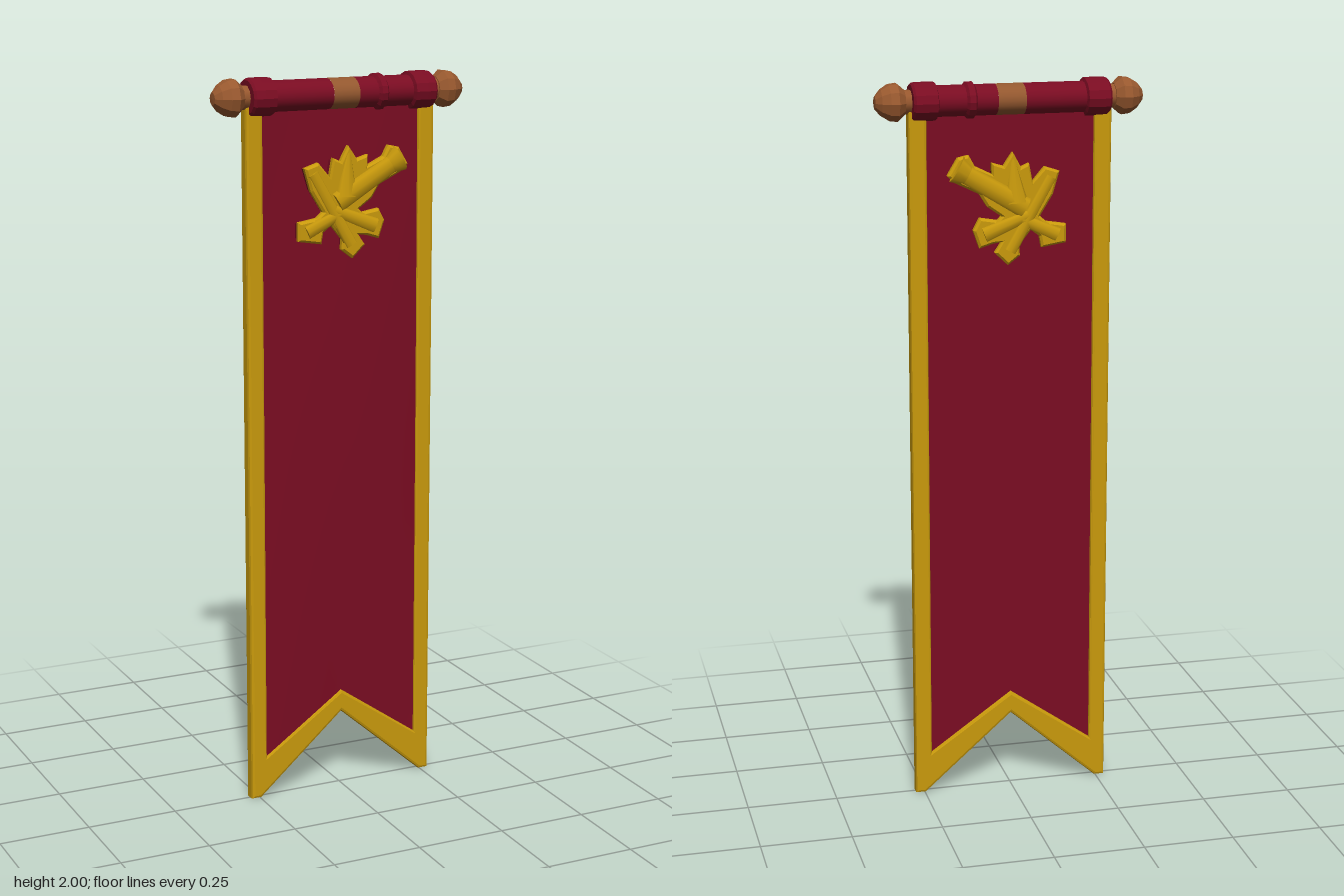
import * as THREE from 'three';

const mat = (name, color) => {
  const m = new THREE.MeshStandardMaterial({ color });
  m.name = name;
  return m;
};

export function createModel() {
  const red = mat('crimson cloth', 0x7a0c22);
  const gold = mat('gold', 0xc99a0c);
  const wood = mat('brown wood', 0x99592f);
  const tan = mat('tan band', 0x94582f);
  const root = new THREE.Group();
  root.name = 'hangingBanner';

  const add = (name, geo, material, parent = root) => {
    const mesh = new THREE.Mesh(geo, material);
    mesh.name = name;
    parent.add(mesh);
    return mesh;
  };
  const shapeOf = pts => new THREE.Shape(pts.map(([x, y]) => new THREE.Vector2(x, y)));

  // Cloth: a thin box with a swallowtail lower edge and a gently bulging front
  const cloth = new THREE.BoxGeometry(0.48, 1, 0.024, 12, 16, 1);
  const p = cloth.attributes.position;
  for (let i = 0; i < p.count; i++) {
    const x = p.getX(i), t = p.getY(i) + 0.5, z = p.getZ(i);
    const bottom = 0.25 - Math.abs(x) * 0.8;
    const bulge = z > 0 ? 0.013 * Math.sin(Math.PI * t) * (1 - (x / 0.24) ** 2) : 0;
    p.setXYZ(i, x, bottom + t * (1.93 - bottom), z + bulge);
  }
  cloth.computeVertexNormals();
  add('cloth', cloth, red);

  // Gold trim: one bevelled border down both sides and along the swallowtail
  const b = 0.008;
  const trim = new THREE.ExtrudeGeometry(shapeOf([
    [-0.267, 1.92], [-0.267, 0.008], [-0.25, 0.008], [0, 0.228], [0.25, 0.008], [0.267, 0.008],
    [0.267, 1.92], [0.234, 1.92], [0.234, 0.11], [0, 0.272], [-0.234, 0.11], [-0.234, 1.92],
  ]), { depth: 0.024, bevelEnabled: true, bevelSize: b, bevelThickness: b, bevelSegments: 2 });
  add('goldTrim', trim.translate(0, 0, -0.013), gold);

  // Rolled top: lathe profiles turned to lie along x and slightly flattened
  const rod = new THREE.Group();
  rod.name = 'topRod';
  rod.position.y = 1.946;
  root.add(rod);
  const turned = (name, pts, material, sides, flat) => {
    const geo = new THREE.LatheGeometry(pts.map(([x, r]) => new THREE.Vector2(r, x)), sides);
    geo.rotateZ(-Math.PI / 2).scale(1, flat, 1);
    return add(name, geo.toNonIndexed(), material, rod);
  };
  const facet = mesh => { mesh.geometry.computeVertexNormals(); return mesh; };
  turned('clothRollLeft', [[0.04, 0.049], [0.205, 0.049]], red, 20, 0.84);
  turned('clothRollRight', [[-0.205, 0.049], [-0.035, 0.049]], red, 20, 0.84);
  turned('tanBand', [[-0.035, 0.0492], [0.04, 0.0492]], tan, 20, 0.84);
  facet(turned('rollRing', [[0.095, 0.048], [0.102, 0.058], [0.118, 0.058], [0.125, 0.048]], red, 16, 0.84));
  for (const s of [-1, 1]) {
    const side = s > 0 ? 'left' : 'right';
    const along = pts => (s > 0 ? pts : pts.map(([x, r]) => [-x, r]).reverse());
    facet(turned(side + 'Collar', along([
      [0.197, 0.045], [0.202, 0.061], [0.235, 0.062], [0.26, 0.061], [0.266, 0.055], [0.266, 0],
    ]), red, 14, 0.82));
    turned(side + 'Neck', along([[0.26, 0.032], [0.295, 0.032]]), wood, 10, 1);
    facet(turned(side + 'Knob', along([
      [0.282, 0], [0.283, 0.036], [0.302, 0.054], [0.324, 0.051], [0.345, 0.037], [0.36, 0.018], [0.361, 0],
    ]), wood, 10, 0.95));
  }

  // Emblem outline: crossed staves, a flared horn and a small crown of points
  const outline = [
    [-0.116, 1.755], [-0.085, 1.765], [-0.048, 1.725], [-0.037, 1.775], [-0.016, 1.765],
    [0.004, 1.805], [0.026, 1.77], [0.056, 1.78], [0.055, 1.75], [0.11, 1.775],
    [0.125, 1.802], [0.148, 1.797], [0.172, 1.757], [0.156, 1.742], [0.09, 1.71],
    [0.068, 1.675], [0.026, 1.645], [0.042, 1.627], [0.09, 1.635], [0.104, 1.608],
    [0.09, 1.568], [0.058, 1.578], [0.026, 1.58], [0.045, 1.548], [0.016, 1.52],
    [-0.01, 1.54], [-0.008, 1.567], [-0.045, 1.613], [-0.075, 1.59], [-0.08, 1.563],
    [-0.136, 1.572], [-0.136, 1.612], [-0.085, 1.62], [-0.063, 1.64], [-0.1, 1.7],
  ];
  const core = new THREE.ExtrudeGeometry(shapeOf(outline), { depth: 0.08, bevelEnabled: false });
  add('emblemBacking', core.translate(0, 0, -0.04), red);

  // Raised bars on the emblem: start, end, start radius, end radius
  const bars = [
    ['horn', [-0.03, 1.665], [0.145, 1.768], 0.03, 0.026],
    ['hornMouth', [0.125, 1.756], [0.155, 1.774], 0.026, 0.038],
    ['longStave', [-0.1, 1.745], [0.012, 1.55], 0.016, 0.018],
    ['leftStave', [-0.118, 1.59], [-0.02, 1.635], 0.02, 0.016],
    ['rightStave', [-0.04, 1.645], [0.082, 1.597], 0.016, 0.022],
    ['crownPoint', [-0.005, 1.68], [0.004, 1.795], 0.034, 0.006],
  ];
  for (const s of [1, -1]) {
    const emblem = new THREE.Group();
    emblem.name = s > 0 ? 'frontEmblem' : 'backEmblem';
    root.add(emblem);
    const face = new THREE.ExtrudeGeometry(shapeOf(outline), {
      depth: 0.012, bevelEnabled: true, bevelSize: 0.006, bevelThickness: 0.006, bevelSegments: 1,
    });
    face.translate(0, 0, s > 0 ? 0.038 : -0.05);
    add('emblemFace', face, gold, emblem);
    for (const [name, from, to, r0, r1] of bars) {
      const dx = to[0] - from[0], dy = to[1] - from[1];
      const geo = new THREE.CylinderGeometry(r1, r0, Math.hypot(dx, dy), 8);
      geo.scale(1, 1, 0.55).rotateZ(Math.atan2(-dx, dy));
      geo.translate((from[0] + to[0]) / 2, (from[1] + to[1]) / 2, s * 0.053);
      add(name, geo, gold, emblem);
    }
  }
  return root;
}
